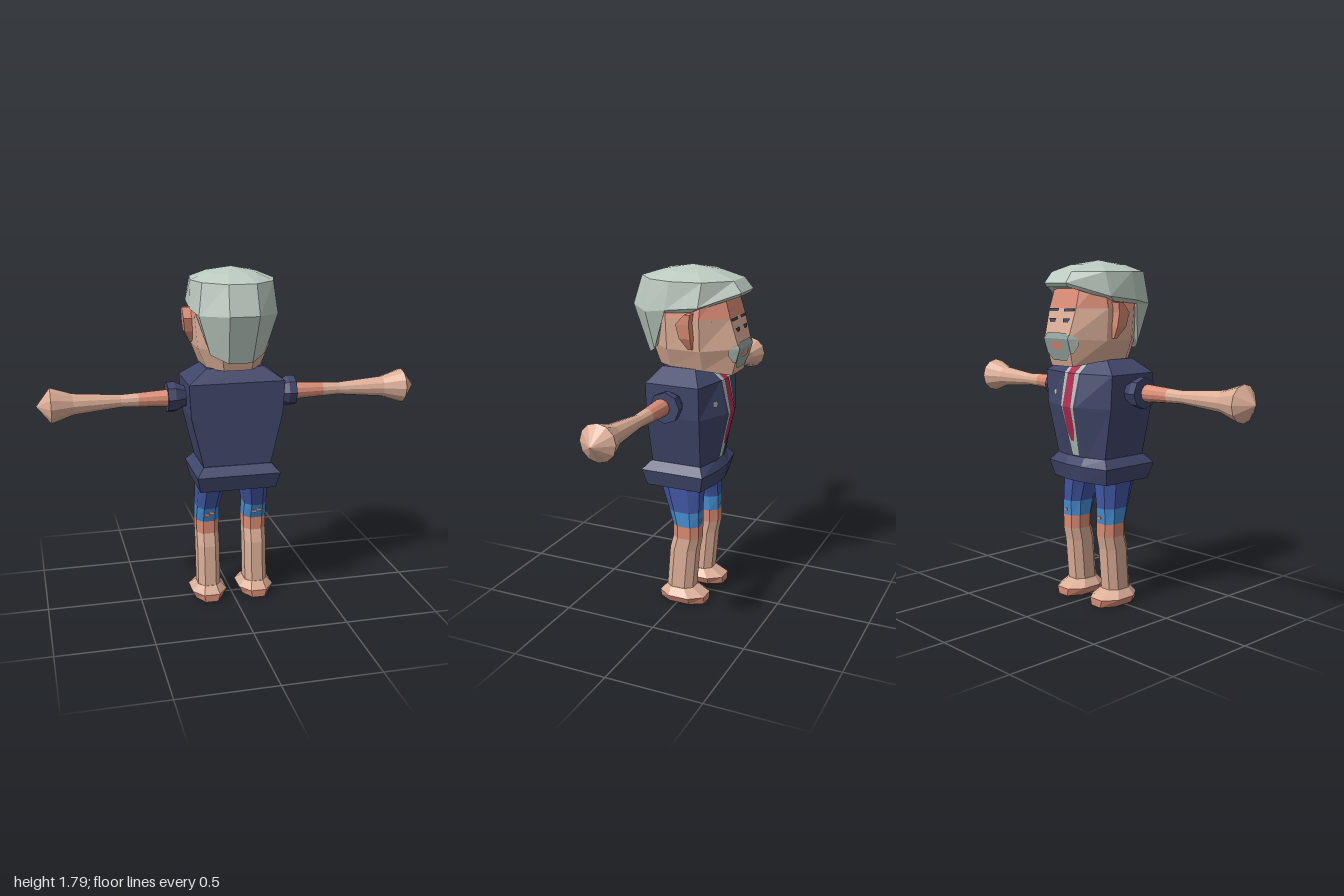
import * as THREE from 'three';

const mat = (name, color, side = THREE.FrontSide) => {
  const m = new THREE.MeshStandardMaterial({ color, flatShading: true, side });
  m.name = name;
  return m;
};

// Mirror a half outline (back to front, x > 0) into a closed ring
const sym = half => [...half, ...half.slice().reverse().map(([x, y, z]) => [-x, y, z])];

// Chamfered eight-sided ring in the horizontal plane
const oct = (cx, y, hw, zFront, zBack, k = 0.5) => {
  const c = (zFront + zBack) / 2, hd = (zBack - zFront) / 2;
  return sym([[hw * k, y, c + hd], [hw, y, c + hd * k], [hw, y, c - hd * k], [hw * k, y, c - hd]])
    .map(([x, yy, z]) => [x + cx, yy, z]);
};

const circle = (r, y, cz, n = 12) => Array.from({ length: n }, (_, i) => {
  const a = (i / n) * Math.PI * 2;
  return [r * Math.sin(a), y, cz + r * Math.cos(a)];
});

// Closed skin over rings ordered bottom to top
function loft(rings) {
  const pos = [], n = rings[0].length;
  const mid = r => [0, 1, 2].map(k => r.reduce((s, p) => s + p[k], 0) / n);
  const lowMid = mid(rings[0]), topRing = rings[rings.length - 1], topMid = mid(topRing);
  for (let i = 0; i < n; i++) {
    const j = (i + 1) % n;
    pos.push(...lowMid, ...rings[0][j], ...rings[0][i]);
    pos.push(...topMid, ...topRing[i], ...topRing[j]);
    for (let k = 0; k < rings.length - 1; k++) {
      const lo = rings[k], up = rings[k + 1];
      pos.push(...lo[i], ...lo[j], ...up[j], ...lo[i], ...up[j], ...up[i]);
    }
  }
  const g = new THREE.BufferGeometry();
  g.setAttribute('position', new THREE.Float32BufferAttribute(pos, 3));
  g.computeVertexNormals();
  return g;
}

// Linear lookup in [key, value] pairs
function lerpTable(t, v) {
  let i = 0;
  while (i < t.length - 2 && v > t[i + 1][0]) i++;
  const [a, b] = [t[i], t[i + 1]];
  return a[1] + ((b[1] - a[1]) * (v - a[0])) / (b[0] - a[0]);
}

export function createModel() {
  const root = new THREE.Group();
  root.name = 'figure';
  const M = {
    hair: mat('pale grey', 0xbccac0),
    skin: mat('skin', 0xdcae97),
    flush: mat('flushed skin', 0xd98b74),
    navy: mat('navy', 0x40466a),
    blue: mat('denim blue', 0x4055a0),
    light: mat('faded denim', 0x438acb),
    red: mat('tie red', 0xb02a50, THREE.DoubleSide),
    dark: mat('dark slate', 0x3c4358, THREE.DoubleSide),
    beard: mat('beard grey', 0x94a5a1, THREE.DoubleSide),
    pale: mat('shirt grey', 0xb0beb4, THREE.DoubleSide),
  };
  const add = (name, g, m, parent = root) => {
    const mesh = new THREE.Mesh(g, m);
    mesh.name = name;
    parent.add(mesh);
    return mesh;
  };

  // Flat painted strip: rows of [y, xLeft, xRight] laid on a surface z(x, y)
  const decal = (name, rows, z, m) => {
    const pos = [];
    const p = (x, y) => [x, y, z(x, y) - 0.005];
    for (let i = 0; i < rows.length - 1; i++) {
      const [y0, a0, b0] = rows[i], [y1, a1, b1] = rows[i + 1];
      pos.push(...p(b0, y0), ...p(a0, y0), ...p(a1, y1), ...p(b0, y0), ...p(a1, y1), ...p(b1, y1));
    }
    const g = new THREE.BufferGeometry();
    g.setAttribute('position', new THREE.Float32BufferAttribute(pos, 3));
    g.computeVertexNormals();
    add(name, g, m);
  };

  // Jacket, with a ridged chest, and its flared hem
  const chest = (y, w, back, side, front) =>
    sym([[w, y, back], [w, y, side], [0.06, y, front]]);
  add('jacket', loft([
    chest(0.77, 0.175, 0.15, -0.12, -0.15), chest(1.05, 0.24, 0.15, -0.14, -0.215),
    chest(1.22, 0.25, 0.15, -0.14, -0.18), chest(1.29, 0.15, 0.1, -0.08, -0.1),
  ]), M.navy);
  add('jacketHem', loft([
    chest(0.655, 0.2, 0.17, -0.13, -0.16), chest(0.74, 0.22, 0.195, -0.15, -0.18),
    chest(0.785, 0.18, 0.155, -0.12, -0.155),
  ]), M.navy);

  // Shirt front, tie and lapel badges
  const frontT = [[0.77, -0.15], [1.05, -0.215], [1.22, -0.18], [1.29, -0.1]];
  const sideT = [[0.77, -0.12], [1.05, -0.14], [1.22, -0.14], [1.29, -0.08]];
  const widthT = [[0.77, 0.175], [1.05, 0.24], [1.22, 0.25], [1.29, 0.15]];
  const chestZ = (x, y) => {
    const f = lerpTable(frontT, y), t = (Math.abs(x) - 0.06) / (lerpTable(widthT, y) - 0.06);
    return f + (lerpTable(sideT, y) - f) * Math.max(0, t);
  };
  decal('shirt', [[0.79, -0.025, 0.025], [1.05, -0.045, 0.045], [1.22, -0.055, 0.055], [1.285, -0.058, 0.058]], chestZ, M.pale);
  decal('tie', [[0.87, -0.01, 0.01], [0.92, -0.026, 0.026], [1.05, -0.03, 0.03], [1.22, -0.026, 0.026], [1.285, -0.035, 0.035]],
    (x, y) => chestZ(x, y) - 0.004, M.red);
  for (const s of [1, -1])
    decal('badge', [[1.1, s * 0.13 - 0.012, s * 0.13 + 0.012], [1.115, s * 0.13 - 0.02, s * 0.13 + 0.02],
      [1.13, s * 0.13 - 0.016, s * 0.13 + 0.016]], chestZ, M.pale);

  // Head: lower face in skin, brow and crown flushed
  const chin = sym([[0.07, 1.285, 0.15], [0.14, 1.285, 0.06], [0.15, 1.285, -0.12], [0.08, 1.26, -0.25]]);
  const cheek = sym([[0.09, 1.39, 0.18], [0.185, 1.39, 0.06], [0.19, 1.39, -0.12], [0.09, 1.4, -0.288]]);
  const brow = sym([[0.1, 1.55, 0.2], [0.2, 1.55, 0.06], [0.2, 1.55, -0.12], [0.1, 1.55, -0.245]]);
  const crown = sym([[0.1, 1.7, 0.18], [0.17, 1.7, 0.06], [0.17, 1.7, -0.12], [0.09, 1.7, -0.2]]);
  add('face', loft([chin, cheek, brow]), M.skin);
  add('forehead', loft([brow, crown]), M.flush);

  // Beard, mouth, eyes and brows
  const noseT = [[1.26, -0.25], [1.4, -0.288], [1.55, -0.245], [1.7, -0.2]];
  const faceZ = (x, y) => {
    const f = lerpTable(noseT, y), t = Math.max(0, (Math.abs(x) - 0.09) / 0.1);
    return f + (-0.12 - f) * t - 0.006 * Math.min(1, t * 6);
  };
  decal('beard', [[1.29, -0.05, 0.05], [1.33, -0.085, 0.085], [1.4, -0.09, 0.09], [1.43, -0.07, 0.07]], faceZ, M.beard);
  decal('mouth', [[1.345, -0.035, 0.035], [1.365, -0.045, 0.045], [1.385, -0.035, 0.035]],
    (x, y) => faceZ(x, y) - 0.003, M.flush);
  const span = (s, a, b) => (s > 0 ? [a, b] : [-b, -a]);
  for (const s of [1, -1]) {
    decal('whisker', [[1.33, ...span(s, 0.09, 0.1)], [1.37, ...span(s, 0.09, 0.12)], [1.4, ...span(s, 0.09, 0.12)],
      [1.42, ...span(s, 0.09, 0.1)]], faceZ, M.pale);
    decal('eye', [[1.48, ...span(s, 0.03, 0.065)], [1.5, ...span(s, 0.025, 0.08)]], faceZ, M.dark);
    decal('eyebrow', [[1.535, ...span(s, 0.02, 0.09)], [1.549, ...span(s, 0.02, 0.09)]], faceZ, M.dark);
    decal('eyebrowTail', [[1.538, ...span(s, 0.09, 0.16)], [1.549, ...span(s, 0.09, 0.16)]], faceZ, M.dark);
  }

  // Swept hair: columns run back, rear side, side, temple, fringe
  const low = sym([[0.06, 1.335, 0.215], [0.14, 1.37, 0.15], [0.2, 1.57, 0.08], [0.2, 1.585, -0.08], [0.08, 1.655, -0.28]]);
  add('hair', loft([
    low.map(() => [0, 1.62, 0]), low,
    sym([[0.075, 1.58, 0.298], [0.2, 1.57, 0.17], [0.225, 1.59, 0.05], [0.215, 1.61, -0.12], [0.08, 1.675, -0.295]]),
    sym([[0.07, 1.73, 0.25], [0.18, 1.73, 0.15], [0.215, 1.73, 0.03], [0.19, 1.73, -0.13], [0.075, 1.73, -0.25]]),
    sym([[0.045, 1.765, 0.14], [0.11, 1.765, 0.09], [0.13, 1.765, 0.02], [0.115, 1.765, -0.08], [0.045, 1.765, -0.15]]),
    low.map(() => [0, 1.79, 0]),
  ]), M.hair);

  for (const s of [1, -1]) {
    const side = s > 0 ? 'left' : 'right';

    // Ear: flared wedge
    const earRing = (y, x, z0, z1) => {
      const r = [[0.17, y, z1], [x, y, z1], [x, y, z0], [0.17, y, z0]];
      return s > 0 ? r : r.map(([a, b, c]) => [-a, b, c]).reverse();
    };
    add(side + 'Ear', loft([earRing(1.4, 0.205, -0.085, -0.065), earRing(1.46, 0.235, -0.09, -0.03),
      earRing(1.53, 0.243, -0.085, -0.015), earRing(1.58, 0.243, -0.09, -0.06)]), M.flush);

    // Arm: sleeve cuff, flushed upper arm, forearm widening to a club hand
    const arm = new THREE.Group();
    arm.name = side + 'Arm';
    arm.position.y = 1.13;
    arm.rotation.z = (-s * Math.PI) / 2;
    root.add(arm);
    add('sleeve', loft([circle(0.05, 0.2, 0, 8), circle(0.055, 0.25, 0, 8), circle(0.08, 0.3, 0, 8), circle(0.08, 0.34, 0, 8)]), M.navy, arm);
    add('upperArm', loft([circle(0.046, 0.33, 0.018), circle(0.037, 0.49, 0.02)]), M.flush, arm);
    add('forearmAndHand', loft([circle(0.037, 0.49, 0.02), circle(0.033, 0.58, 0.022), circle(0.055, 0.82, 0.033),
      circle(0.092, 0.93, 0.037), circle(0, 1, 0.037)]), M.skin, arm);

    // Leg: shorts, faded cuff, knee, shin
    const cx = s * 0.13;
    const hip = oct(s * 0.115, 0.67, 0.073, -0.105, 0.118), thigh = oct(s * 0.13, 0.52, 0.06, -0.105, 0.065);
    const cuff = oct(cx, 0.44, 0.062, -0.105, 0.04), knee = oct(cx, 0.37, 0.06, -0.105, 0.04);
    add(side + 'Shorts', loft([thigh, hip]), M.blue);
    add(side + 'FadedCuff', loft([cuff, thigh]), M.light);
    add(side + 'Knee', loft([knee, cuff]), M.flush);
    add(side + 'Shin', loft([oct(cx, 0.07, 0.06, -0.07, 0.078), oct(cx, 0.3, 0.06, -0.09, 0.06), knee]), M.skin);
    // Torn spots on the cuff
    for (const [dx, y, z] of [[-0.015, 0.48, 0.054], [0.012, 0.49, 0.057], [0.01, 0.47, -0.106]]) {
      const tear = add(side + 'Tear', new THREE.BoxGeometry(0.022, 0.014, 0.006), M.flush);
      tear.position.set(cx + dx, y, z);
    }

    // Foot: skin upper over a flushed sole
    const rim = oct(cx, 0.04, 0.095, -0.14, 0.115, 0.45);
    add(side + 'Foot', loft([rim, oct(cx, 0.08, 0.062, -0.07, 0.08)]), M.skin);
    add(side + 'Sole', loft([oct(cx, 0, 0.075, -0.14, 0.115, 0.45), rim]), M.flush);
  }
  return root;
}
